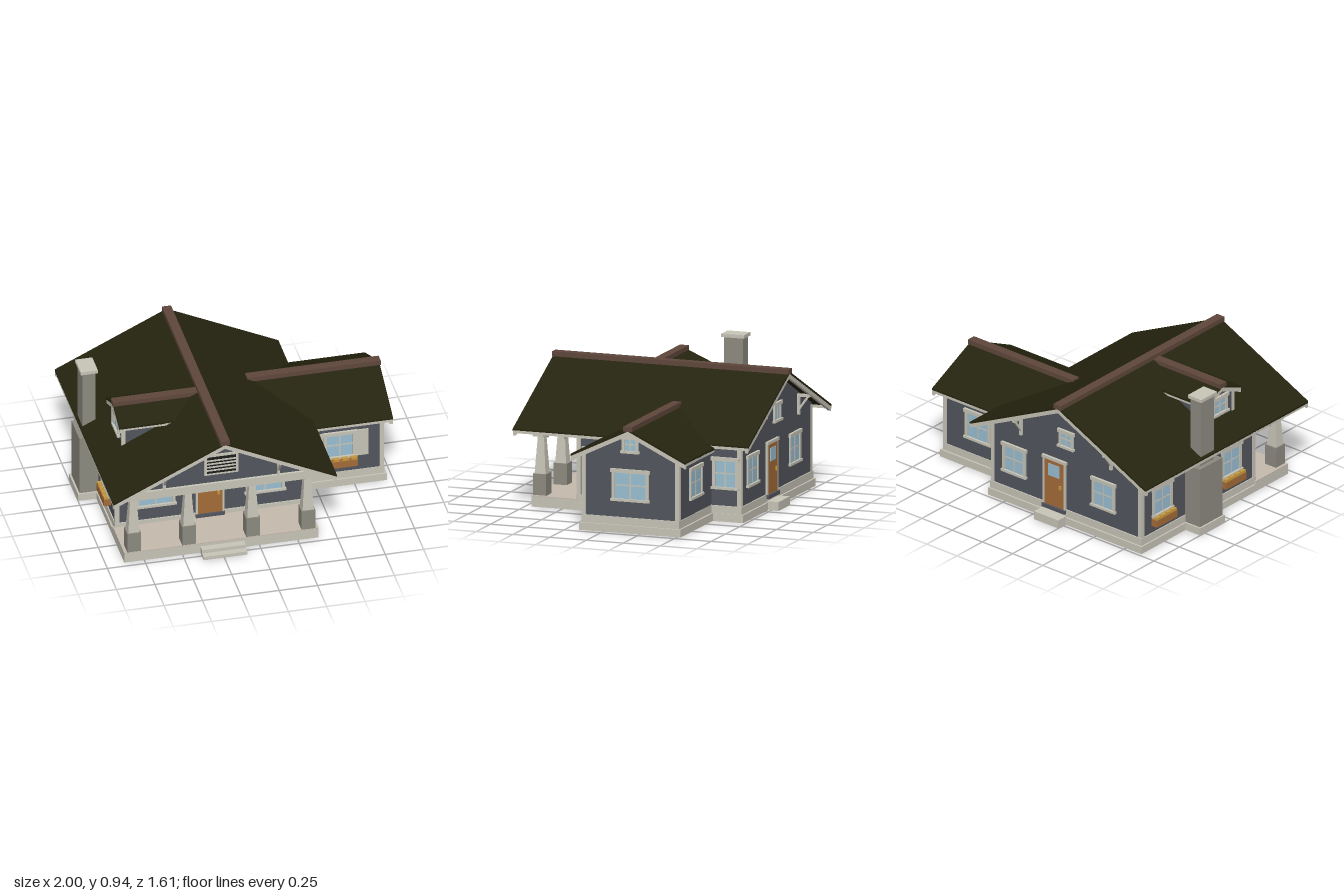
import * as THREE from 'three';

const mat = (name, color) => {
  const m = new THREE.MeshStandardMaterial({ color });
  m.name = name;
  return m;
};
const M = {
  wall: mat('slate siding', 0x53565e),
  trim: mat('cream trim', 0xc8c5b8),
  roof: mat('dark shingles', 0x25240f),
  ridge: mat('brown ridge', 0x5f473c),
  stone: mat('grey stone', 0x8d8b80),
  glass: mat('window glass', 0x9ac0d4),
  wood: mat('door wood', 0xa56c39),
  gold: mat('gold', 0xc9993c),
  dark: mat('vent shadow', 0x1d1d1b),
  floor: mat('porch floor', 0xc6baae),
};

function add(parent, name, geo, material) {
  const mesh = new THREE.Mesh(geo, material);
  mesh.name = name;
  parent.add(mesh);
  return mesh;
}

// Box given by its minimum and maximum on each axis
function box(parent, name, material, x0, x1, y0, y1, z0, z1) {
  const mesh = add(parent, name, new THREE.BoxGeometry(x1 - x0, y1 - y0, z1 - z0), material);
  mesh.position.set((x0 + x1) / 2, (y0 + y1) / 2, (z0 + z1) / 2);
  return mesh;
}

function group(parent, name, x = 0, y = 0, z = 0, turn = 0) {
  const g = new THREE.Group();
  g.name = name;
  g.position.set(x, y, z);
  g.rotation.y = turn;
  parent.add(g);
  return g;
}

const shapeOf = (pts) => new THREE.Shape(pts.map(([x, y]) => new THREE.Vector2(x, y)));

// Outline in x and y, extruded from z0 to z1
function prism(parent, name, material, pts, z0, z1) {
  const geo = new THREE.ExtrudeGeometry(shapeOf(pts), { depth: z1 - z0, bevelEnabled: false });
  return add(parent, name, geo.translate(0, 0, z0), material);
}

// Gable-ended wall block, ridge along local z
function gableWall(parent, name, half, y0, eave, peak, z0, z1) {
  prism(parent, name, M.wall, [[-half, y0], [half, y0], [half, eave], [0, peak], [-half, eave]], z0, z1);
}

// Gable roof, ridge along local z; back lists the plan points [x, z] of its rear edge from eave to ridge
function gableRoof(parent, half, peak, slope, front, back, boardEnds) {
  const t = 0.014, drop = 0.03, eave = peak - slope * half - t;
  for (const s of [-1, 1]) {
    const plan = [[0, front], [s * half, front], ...back.map(([x, z]) => [s * x, z])];
    const geo = new THREE.ExtrudeGeometry(shapeOf(plan), { depth: t, bevelEnabled: false }).rotateX(Math.PI / 2);
    const p = geo.attributes.position;
    for (let i = 0; i < p.count; i++) p.setY(i, p.getY(i) + peak - slope * Math.abs(p.getX(i)));
    geo.computeVertexNormals();
    add(parent, 'roofSlope', geo, M.roof);
    const xa = s * half, xb = s * (half - 0.015);
    box(parent, 'eaveFascia', M.trim, Math.min(xa, xb), Math.max(xa, xb), eave - 0.014, eave + 0.004, back[0][1], front - 0.002);
  }
  for (const z of boardEnds) {
    const e = eave, k = peak - t;
    prism(parent, 'bargeboard', M.trim,
      [[-half, e - drop], [0, k - drop], [half, e - drop], [half, e], [0, k], [-half, e]], z - 0.01, z + 0.01);
  }
  const back0 = back[back.length - 1][1];
  box(parent, 'ridgeCap', M.ridge, -0.03, 0.03, peak - 0.015, peak + 0.017, back0 - 0.005, front + 0.005);
}

// Cased window facing local +z, centred at its origin
function windowUnit(parent, x, y, z, turn, w, h) {
  const g = group(parent, 'window', x, y, z, turn), a = w / 2, b = h / 2, c = 0.02;
  box(g, 'glass', M.glass, -a, a, -b, b, 0, 0.005);
  for (const s of [-1, 1]) box(g, 'sideCasing', M.trim, s * (a - c / 2) - c / 2, s * (a - c / 2) + c / 2, -b, b, 0, 0.012);
  box(g, 'header', M.trim, -a - 0.008, a + 0.008, b - c, b + 0.004, 0, 0.017);
  box(g, 'sill', M.trim, -a - 0.008, a + 0.008, -b - 0.004, -b + 0.012, 0, 0.02);
  box(g, 'muntin', M.trim, -0.004, 0.004, -b, b, 0, 0.008);
  box(g, 'muntin', M.trim, -a, a, -0.004, 0.004, 0, 0.008);
  return g;
}

// Planter under a window, in the window's own frame
function flowerBox(win, w, y) {
  box(win, 'flowerBox', M.wood, -w / 2, w / 2, y - 0.06, y - 0.012, 0, 0.045);
  const n = 4;
  for (let i = 0; i < n; i++) {
    const x = (i - (n - 1) / 2) * (w - 0.045) / (n - 1);
    box(win, 'flowers', M.gold, x - 0.02, x + 0.02, y - 0.012, y + 0.005, 0.012, 0.044);
  }
}

function door(parent, x, z, turn) {
  const g = group(parent, 'door', x, 0.095, z, turn);
  box(g, 'threshold', M.wall, -0.095, 0.095, -0.025, 0, 0, 0.025);
  box(g, 'doorLeaf', M.wood, -0.08, 0.08, 0, 0.325, 0, 0.012);
  for (const s of [-1, 1]) box(g, 'jamb', M.trim, s * 0.086 - 0.007, s * 0.086 + 0.007, 0, 0.325, 0, 0.014);
  box(g, 'doorHeader', M.trim, -0.1, 0.1, 0.322, 0.342, 0, 0.018);
  box(g, 'doorGlass', M.glass, -0.045, 0.045, 0.21, 0.295, 0, 0.016);
  box(g, 'handle', M.gold, 0.045, 0.062, 0.135, 0.16, 0, 0.022);
}

// Triangular eave bracket standing out towards local +z
function kneeBrace(parent, x, y, z, turn) {
  const g = group(parent, 'kneeBrace', x, y, z, turn);
  box(g, 'bracePost', M.trim, -0.009, 0.009, 0, 0.135, 0, 0.016);
  box(g, 'braceArm', M.trim, -0.009, 0.009, 0.117, 0.135, 0, 0.085);
  const strut = box(g, 'braceStrut', M.trim, -0.007, 0.007, -0.055, 0.055, -0.007, 0.007);
  strut.position.set(0, 0.08, 0.042);
  strut.rotation.x = Math.PI / 5;
}

export function createModel() {
  const house = new THREE.Group();
  house.name = 'house';
  const H = Math.PI / 2, CX = -0.245, WZ = -0.18;

  // Foundations, porch slab and steps
  box(house, 'mainFoundation', M.trim, -0.88, 0.39, 0, 0.05, -0.73, 0.41);
  box(house, 'wingFoundation', M.trim, 0.38, 0.96, 0, 0.05, -0.525, 0.165);
  box(house, 'porchSlab', M.trim, -0.88, 0.385, 0, 0.066, 0.39, 0.71);
  box(house, 'porchFloor', M.floor, -0.88, 0.385, 0.066, 0.072, 0.39, 0.71);
  box(house, 'lowerStep', M.trim, -0.385, -0.1, 0, 0.024, 0.7, 0.8);
  box(house, 'upperStep', M.trim, -0.385, -0.1, 0.024, 0.048, 0.7, 0.757);
  box(house, 'backStep', M.trim, -0.25, -0.05, 0, 0.057, -0.8, -0.72);
  box(house, 'mainSkirting', M.trim, -0.87, 0.383, 0.05, 0.1, -0.718, 0.408);
  box(house, 'wingSkirting', M.trim, 0.375, 0.947, 0.05, 0.1, -0.512, 0.153);

  // Main block with the gable carried out over the porch
  const main = group(house, 'mainBlock', CX);
  gableWall(main, 'mainWalls', 0.618, 0.08, 0.54, 0.845, -0.71, 0.4);
  gableWall(main, 'porchGable', 0.618, 0.5, 0.54, 0.845, 0.4, 0.69);
  gableRoof(main, 0.728, 0.865, 0.48, 0.8, [[0.728, -0.8], [0, -0.8]], [0.788, -0.788]);

  // Side wing
  const wing = group(house, 'wing', 0, 0, WZ, H);
  gableWall(wing, 'wingWalls', 0.328, 0.08, 0.502, 0.66, 0.35, 0.94);
  gableRoof(wing, 0.39, 0.68, 0.48, 0.99, [[0.39, 0.48], [0.343, 0.48], [0, 0.13]], [0.978]);

  // Dormer
  const dormer = group(house, 'dormer', 0, 0, 0.14, -H);
  gableWall(dormer, 'dormerWalls', 0.14, 0.57, 0.764, 0.82, 0.4, 0.79);
  gableRoof(dormer, 0.182, 0.84, 0.42, 0.82, [[0.182, 0.45], [0, 0.28]], [0.808]);
  for (const s of [-1, 1]) box(dormer, 'dormerCorner', M.trim, s * 0.133 - 0.011, s * 0.133 + 0.011, 0.59, 0.755, 0.77, 0.796);
  windowUnit(dormer, 0, 0.69, 0.79, 0, 0.15, 0.125);

  // Corner boards
  for (const [x, z, top] of [[-0.854, 0.392, 0.53], [0.366, 0.392, 0.53], [-0.854, -0.7, 0.53], [0.366, -0.7, 0.53],
    [0.931, 0.139, 0.495], [0.931, -0.499, 0.495]]) {
    box(house, 'cornerBoard', M.trim, x - 0.014, x + 0.014, 0.1, top, z - 0.014, z + 0.014);
  }

  // Porch beam and tapered columns on stone piers
  box(house, 'porchBeam', M.trim, -0.86, 0.375, 0.453, 0.51, 0.635, 0.708);
  for (const x of [-0.815, -0.457, -0.04, 0.32]) {
    box(house, 'columnPier', M.stone, x - 0.045, x + 0.045, 0.07, 0.21, 0.618, 0.708);
    const r = Math.SQRT2;
    const col = add(house, 'porchColumn', new THREE.CylinderGeometry(0.021 * r, 0.037 * r, 0.243, 4, 1).rotateY(Math.PI / 4).toNonIndexed(), M.trim);
    col.geometry.computeVertexNormals();
    col.position.set(x, 0.3315, 0.663);
  }

  // Rafter tails beside the porch
  for (const s of [-1, 1]) for (const z of [0.45, 0.57]) {
    const tail = box(house, 'rafterTail', M.trim, -0.06, 0.06, -0.014, 0.014, -0.006, 0.006);
    tail.position.set(CX + s * 0.665, 0.51, z);
    tail.rotation.z = -s * Math.atan(0.48);
  }

  // Louvred vent in the front gable
  const vent = group(house, 'gableVent', CX, 0.645, 0.69);
  box(vent, 'ventFrame', M.trim, -0.11, 0.11, -0.075, 0.075, 0, 0.01);
  box(vent, 'ventOpening', M.dark, -0.095, 0.095, -0.06, 0.06, 0, 0.013);
  for (let i = 0; i < 4; i++) {
    const y = -0.036 + i * 0.024;
    box(vent, 'ventSlat', M.trim, -0.095, 0.095, y - 0.005, y + 0.005, 0, 0.018);
  }

  // Knee braces under both main gables
  for (const s of [-1, 1]) {
    kneeBrace(house, CX + s * 0.372, 0.51, 0.69, 0);
    kneeBrace(house, CX + s * 0.372, 0.51, -0.71, Math.PI);
  }

  // Doors and windows, front and back
  door(house, -0.25, 0.4, 0);
  door(house, -0.15, -0.71, Math.PI);
  windowUnit(house, -0.604, 0.31, 0.4, 0, 0.255, 0.225);
  windowUnit(house, 0.11, 0.31, 0.4, 0, 0.255, 0.225);
  for (const x of [-0.555, 0.185]) windowUnit(house, x, 0.31, -0.71, Math.PI, 0.19, 0.2);
  windowUnit(house, CX, 0.6, -0.71, Math.PI, 0.12, 0.12);

  // Left and right side windows
  for (const z of [0.17, -0.51]) flowerBox(windowUnit(house, -0.863, 0.31, z, -H, 0.19, 0.2), 0.2, -0.1);
  for (const z of [0.272, -0.605]) windowUnit(house, 0.373, 0.31, z, H, 0.175, 0.2);

  // Wing windows, with shutters and planter on the front
  windowUnit(house, 0.94, 0.308, WZ, H, 0.25, 0.2);
  windowUnit(house, 0.94, 0.573, WZ, H, 0.112, 0.106);
  windowUnit(house, 0.655, 0.305, -0.508, Math.PI, 0.21, 0.2);
  const front = windowUnit(house, 0.655, 0.305, 0.148, 0, 0.21, 0.19);
  for (const s of [-1, 1]) box(front, 'shutter', M.trim, s * 0.146 - 0.042, s * 0.146 + 0.042, -0.095, 0.095, 0, 0.01);
  flowerBox(front, 0.22, -0.09);

  // Chimney
  box(house, 'chimneyFooting', M.trim, -1, -0.86, 0, 0.05, -0.295, -0.05);
  box(house, 'chimneyBase', M.stone, -0.988, -0.86, 0.05, 0.46, -0.283, -0.062);
  box(house, 'chimneyStack', M.stone, -0.958, -0.873, 0.46, 0.92, -0.238, -0.108);
  box(house, 'chimneyCap', M.trim, -0.972, -0.86, 0.918, 0.94, -0.25, -0.095);
  return house;
}
